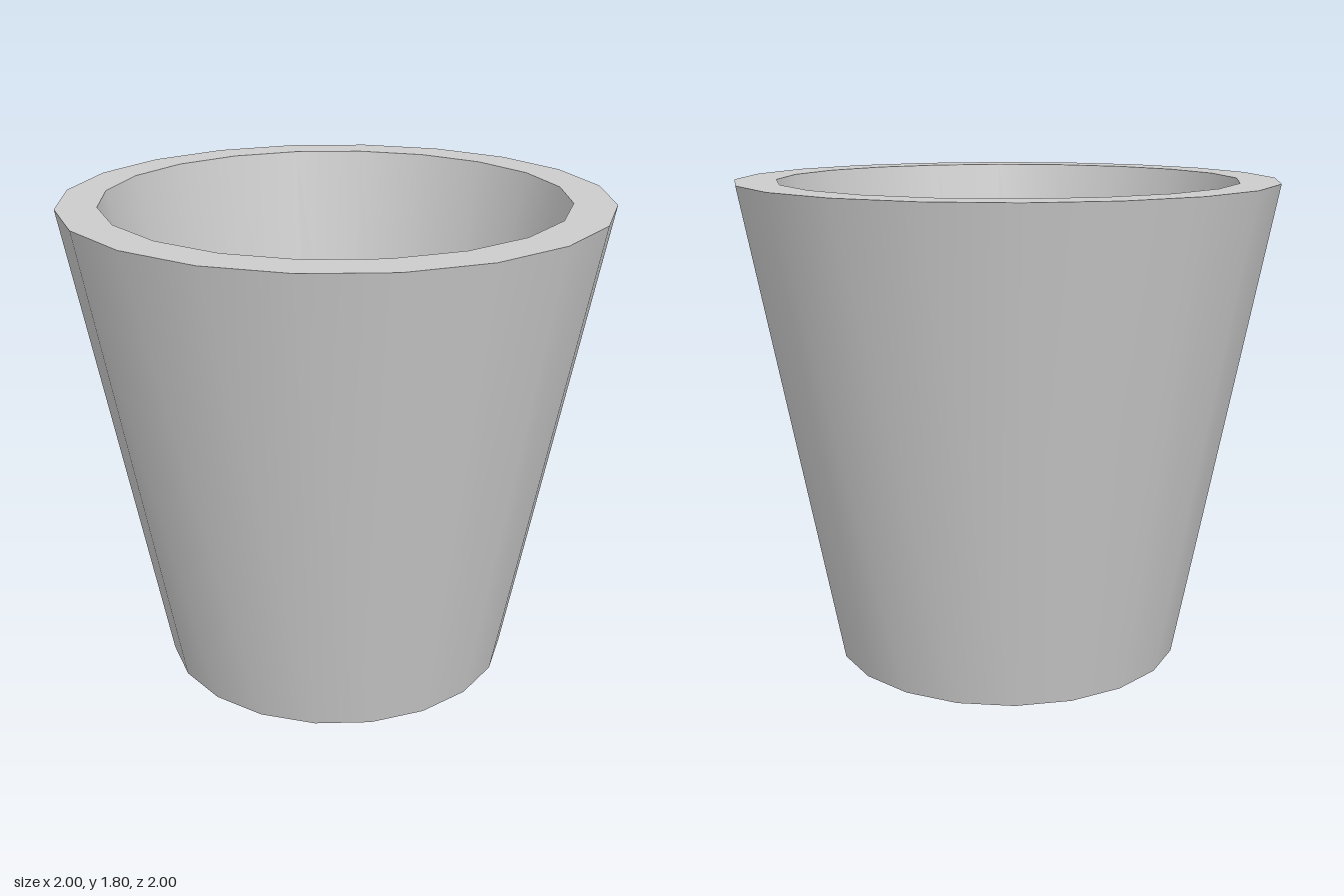
import * as THREE from 'three';

const SIDES = 20, HEIGHT = 1.8, TOP = 1, BOTTOM = 0.66;
const SCALE = 0.85;                       // hollow is a smaller copy of the outside
const FLOOR = HEIGHT * (1 - SCALE);
const HOLLOW_X = -0.002, HOLLOW_Z = -0.007; // hollow sits very slightly off centre

const material = new THREE.MeshStandardMaterial({ color: 0xcccccc });

// Wall between two [radius, y] points; rising walls face out, falling ones face in
function wall(a, b) {
  return new THREE.LatheGeometry([new THREE.Vector2(...a), new THREE.Vector2(...b)], SIDES);
}

// Corners of a regular polygon
function ring(radius, cx = 0, cy = 0) {
  return Array.from({ length: SIDES }, (_, i) => {
    const t = (i / SIDES) * Math.PI * 2;
    return new THREE.Vector2(cx + radius * Math.cos(t), cy + radius * Math.sin(t));
  });
}

export function createModel() {
  const group = new THREE.Group();
  group.name = 'cup';
  const add = (name, geometry, x = 0, y = 0, z = 0) => {
    const mesh = new THREE.Mesh(geometry, material);
    mesh.name = name;
    mesh.position.set(x, y, z);
    group.add(mesh);
  };

  // Tapered walls
  add('outerWall', wall([BOTTOM, 0], [TOP, HEIGHT]));
  add('innerWall', wall([TOP * SCALE, HEIGHT], [BOTTOM * SCALE, FLOOR]), HOLLOW_X, 0, HOLLOW_Z);

  // Flat rim with the opening cut out
  const rim = new THREE.Shape(ring(TOP));
  rim.holes.push(new THREE.Path(ring(TOP * SCALE, HOLLOW_X, -HOLLOW_Z)));
  add('rim', new THREE.ShapeGeometry(rim).rotateX(-Math.PI / 2), 0, HEIGHT, 0);

  // Inside floor and underside
  add('innerFloor', new THREE.CircleGeometry(BOTTOM * SCALE, SIDES).rotateX(-Math.PI / 2),
    HOLLOW_X, FLOOR, HOLLOW_Z);
  add('base', new THREE.CircleGeometry(BOTTOM, SIDES).rotateX(Math.PI / 2));

  return group;
}
